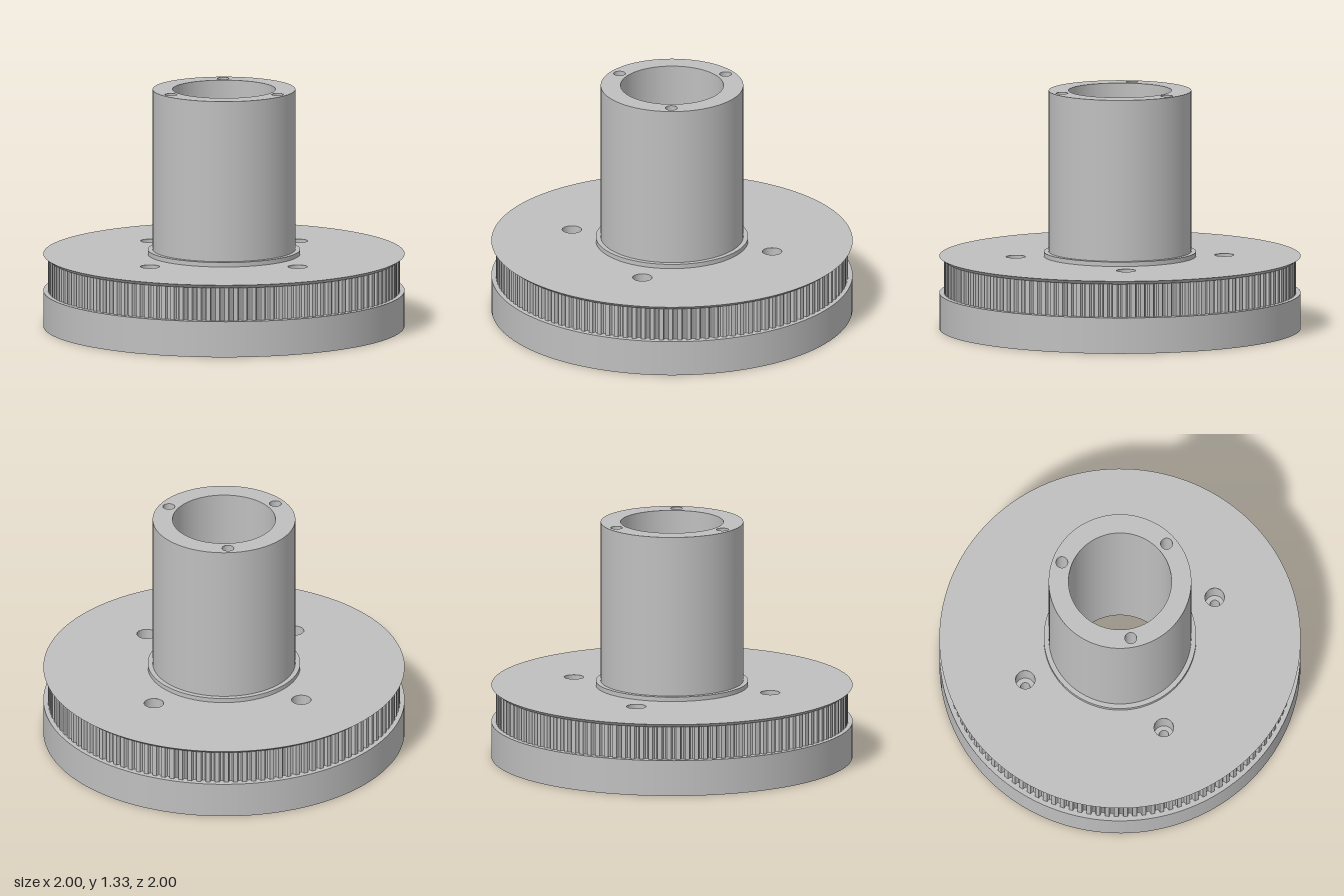
import * as THREE from 'three';

const grey = new THREE.MeshStandardMaterial({ color: 0xbfbfbf });
grey.name = 'grey';

const BORE = 0.285, SHAFT = 0.395, COLLAR = 0.422, RIM = 1, TOOTH = 0.975;
const Y = { ledge: 0.2, belt: 0.385, plate: 0.405, collar: 0.43, top: 1.33 };

export function createModel() {
  const model = new THREE.Group();
  model.name = 'toothedPulley';

  const add = (name, geometry, x = 0, z = 0) => {
    const mesh = new THREE.Mesh(geometry, grey);
    mesh.name = name;
    mesh.position.set(x, 0, z);
    model.add(mesh);
  };

  // Round wall: faces outward when going up, inward when going down
  const wall = (name, r0, y0, r1, y1, x, z, segments = 128) =>
    add(name, new THREE.LatheGeometry(
      [new THREE.Vector2(r0, y0), new THREE.Vector2(r1, y1)], segments), x, z);

  // Flat ring at height y, facing up (1) or down (-1), with drilled holes [x, z]
  const face = (name, outer, inner, y, side, holes = [], holeR = 0, x = 0, z = 0) => {
    const shape = new THREE.Shape().absarc(0, 0, outer, 0, Math.PI * 2);
    const cut = (cx, cy, r) =>
      shape.holes.push(new THREE.Path().absarc(cx, cy, r, 0, Math.PI * 2, true));
    if (inner) cut(0, 0, inner);
    holes.forEach(([hx, hz]) => cut(hx, -side * hz, holeR));
    const geometry = new THREE.ShapeGeometry(shape, outer > 0.2 ? 64 : 16);
    geometry.rotateX(-side * Math.PI / 2).translate(0, y, 0);
    add(name, geometry, x, z);
  };

  const screws = [[0.23, -0.53], [0.53, 0.23], [-0.23, 0.53], [-0.53, -0.23]];
  const taps = [[-0.13, -0.315], [0.337, 0.045], [-0.21, 0.267]];
  const SCREW = 0.027, HEAD = 0.054, TAP = 0.033;
  const headFloor = Y.plate - 0.12, tapFloor = Y.top - 0.25;

  // Lower flange
  face('lowerFlangeBottom', RIM, BORE, 0, -1, screws, SCREW);
  wall('lowerFlangeRim', RIM, 0, RIM, Y.ledge);
  face('lowerFlangeLedge', RIM, 0.9, Y.ledge, 1);

  // Toothed belt ring with narrow rounded grooves
  const TEETH = 120, pitch = Math.PI * 2 / TEETH;
  const outline = [];
  const groove = [[-0.27, 0], [-0.22, 0.012], [-0.12, 0.019],
    [0.12, 0.019], [0.22, 0.012], [0.27, 0]];
  for (let i = 0; i < TEETH; i++) {
    for (const [t, depth] of groove) {
      const a = (i + t) * pitch, r = TOOTH - depth;
      outline.push(new THREE.Vector2(r * Math.cos(a), r * Math.sin(a)));
    }
  }
  const ring = new THREE.Shape(outline);
  ring.holes.push(new THREE.Path().absarc(0, 0, 0.9, 0, Math.PI * 2, true));
  add('beltTeeth', new THREE.ExtrudeGeometry(ring,
    { depth: Y.belt - Y.ledge, bevelEnabled: false, curveSegments: 48 })
    .rotateX(-Math.PI / 2).translate(0, Y.ledge, 0));

  // Upper flange with a flared edge
  face('upperFlangeUnderside', TOOTH, 0.9, Y.belt, -1);
  wall('upperFlangeFlare', TOOTH, Y.belt, RIM, Y.plate);
  face('upperFlangeTop', RIM, COLLAR, Y.plate, 1, screws, HEAD);

  // Counterbored screw holes
  for (const [x, z] of screws) {
    wall('screwHeadWall', HEAD, Y.plate, HEAD, headFloor, x, z, 32);
    face('screwHeadSeat', HEAD, SCREW, headFloor, 1, [], 0, x, z);
    wall('screwHole', SCREW, headFloor, SCREW, 0, x, z, 32);
  }

  // Collar and hollow shaft
  wall('collarRim', COLLAR, Y.plate, COLLAR, Y.collar);
  face('collarTop', COLLAR, SHAFT, Y.collar, 1);
  wall('shaft', SHAFT, Y.collar, SHAFT, Y.top);
  face('shaftTop', SHAFT, BORE, Y.top, 1, taps, TAP);
  wall('bore', BORE, Y.top, BORE, 0);

  // Blind holes in the shaft end
  for (const [x, z] of taps) {
    wall('shaftHole', TAP, Y.top, TAP, tapFloor, x, z, 32);
    face('shaftHoleFloor', TAP, 0, tapFloor, 1, [], 0, x, z);
  }
  return model;
}
